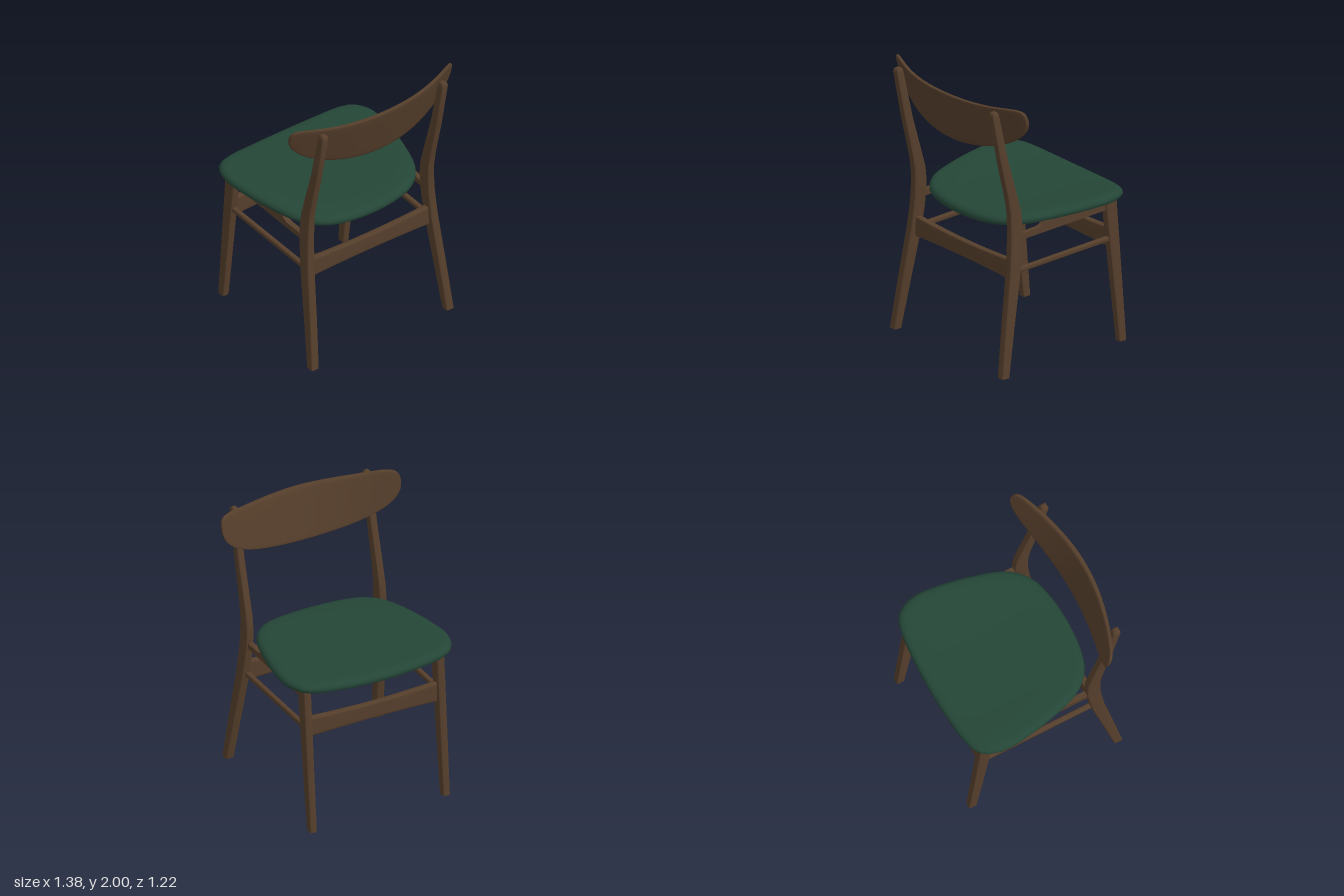
import * as THREE from 'three';
import { toCreasedNormals } from 'three/addons/utils/BufferGeometryUtils.js';

// Skin over equal-length rings (counter-clockwise about the loft direction), capped at both ends
function loft(rings, crease = 0.6) {
  const n = rings[0].length, pos = [], idx = [];
  rings.forEach(r => r.forEach(p => pos.push(...p)));
  for (let i = 0; i < rings.length - 1; i++) {
    for (let j = 0; j < n; j++) {
      const a = i * n + j, b = i * n + (j + 1) % n;
      idx.push(a, b, b + n, a, b + n, a + n);
    }
  }
  [0, rings.length - 1].forEach((i, end) => {
    const c = pos.length / 3;
    for (let k = 0; k < 3; k++) pos.push(rings[i].reduce((s, p) => s + p[k], 0) / n);
    for (let j = 0; j < n; j++) {
      const a = i * n + j, b = i * n + (j + 1) % n;
      idx.push(...(end ? [c, a, b] : [c, b, a]));
    }
  });
  const g = new THREE.BufferGeometry();
  g.setAttribute('position', new THREE.Float32BufferAttribute(pos, 3));
  g.setIndex(idx);
  return toCreasedNormals(g, crease);
}

// Unit rounded square as [cos, sin]-like pairs
function rounded(e = 0.3, n = 24) {
  const f = v => Math.sign(v) * Math.pow(Math.abs(v), e);
  return Array.from({ length: n }, (_, i) => {
    const t = (i + 0.5) / n * Math.PI * 2;
    return [f(Math.cos(t)), f(Math.sin(t))];
  });
}

// Upright leg from rows of [y, x centre, x width, z centre, z depth]
const leg = (rows, side) => loft(rows.map(([y, x, w, z, d]) =>
  rounded().map(([c, s]) => [side * x + s * w / 2, y, z + c * d / 2])));

// Curved crosswise rail, taller at its ends
function crossRail(y, z) {
  const rings = [];
  for (let i = 0; i <= 12; i++) {
    const u = i / 6 - 1, h = 0.058 + 0.015 * u * u;
    rings.push(rounded(0.2).map(([c, s]) => [u * 0.505, y + 0.004 * u * u + c * h, z + s * 0.024]));
  }
  return loft(rings);
}

// Bowed, leaning backrest with a half-moon outline
function backrestGeometry() {
  const rings = [], steps = 40;
  for (let i = 0; i <= steps; i++) {
    const u = Math.sin((i / steps - 0.5) * Math.PI * 0.985), k = 1 - u * u;
    const top = 1.92 + Math.pow(k, 0.25) * (0.06 + 0.095 * u ** 4);
    const bottom = 1.92 - 0.31 * Math.sqrt(k);
    const half = 0.012 + 0.007 * Math.sqrt(k);
    rings.push(rounded(0.28).map(([c, s]) => {
      const y = (top + bottom) / 2 + c * (top - bottom) / 2;
      return [u * 0.69, y, 0.547 - 0.175 * u * u + 0.26 * (y - 1.8) + s * half];
    }));
  }
  return loft(rings);
}

// Upholstered pad: rounded plan, saddle curve, rounded upper edge
function seatGeometry() {
  const half = [[0.2, 0.44], [0.36, 0.395], [0.46, 0.315], [0.52, 0.22], [0.575, 0.05], [0.62, -0.16],
    [0.64, -0.36], [0.62, -0.46], [0.57, -0.54], [0.48, -0.58], [0.28, -0.605]];
  const plan = [[0, 0.455], ...half, [0, -0.615], ...half.map(([x, z]) => [-x, z]).reverse()];
  const curve = new THREE.CatmullRomCurve3(plan.map(([x, z]) => new THREE.Vector3(x, 0, z)), true);
  const outline = curve.getSpacedPoints(80).slice(0, 80);
  const profile = [[0.02, 0], [0.35, 0], [0.7, 0], [0.985, 0], [1, 0.015], [1, 0.028], [0.99, 0.042],
    [0.97, 0.053], [0.94, 0.06], [0.88, 0.064], [0.65, 0.064], [0.35, 0.064], [0.02, 0.064]];
  return loft(profile.map(([s, h]) => outline.map(p => {
    const x = p.x * s, z = -0.08 + (p.z + 0.08) * s;
    return [x, 1.05 - 0.025 * z + 0.09 * x * x + h, z];
  })));
}

// Upper side rail: slim at the back, stepping up to carry the seat
function seatRailGeometry() {
  const s = new THREE.Shape();
  s.moveTo(-0.37, 0.978);
  s.lineTo(0.45, 1.002);
  s.lineTo(0.45, 1.075);
  s.lineTo(-0.12, 1.06);
  s.quadraticCurveTo(-0.14, 1.03, -0.18, 1.027);
  s.lineTo(-0.37, 1.02);
  s.closePath();
  const g = new THREE.ExtrudeGeometry(s, { depth: 0.04, bevelEnabled: false, curveSegments: 6 });
  g.translate(0, 0, -0.02);
  g.rotateY(Math.PI / 2);
  return g;
}

export function createModel() {
  const model = new THREE.Group();
  model.name = 'chair';
  const wood = new THREE.MeshStandardMaterial({ color: 0x553e2b });
  wood.name = 'walnut wood';
  const fabric = new THREE.MeshStandardMaterial({ color: 0x244637 });
  fabric.name = 'green upholstery';
  const add = (name, geometry, material = wood) => {
    const m = new THREE.Mesh(geometry, material);
    m.name = name;
    model.add(m);
    return m;
  };

  add('seat', seatGeometry(), fabric);
  add('backrest', backrestGeometry());
  add('backRail', crossRail(0.768, 0.388));
  add('frontRail', crossRail(0.778, -0.485));

  const backRows = [
    [0.03, 0.578, 0.062, 0.522, 0.062], [0.4, 0.553, 0.064, 0.46, 0.08], [0.75, 0.53, 0.064, 0.398, 0.095],
    [0.9, 0.521, 0.062, 0.38, 0.1], [1.0, 0.516, 0.06, 0.372, 0.102], [1.1, 0.513, 0.058, 0.37, 0.104],
    [1.2, 0.512, 0.056, 0.378, 0.096], [1.3, 0.512, 0.054, 0.4, 0.086], [1.6, 0.512, 0.052, 0.478, 0.07],
    [1.95, 0.512, 0.052, 0.552, 0.058], [1.968, 0.512, 0.046, 0.554, 0.048], [1.978, 0.512, 0.03, 0.554, 0.03]];
  const frontRows = [[0, 0.514, 0.052, -0.568, 0.06], [0.5, 0.515, 0.056, -0.517, 0.08],
    [1.082, 0.515, 0.06, -0.459, 0.1]];

  // Paired parts: left is +x, right is -x
  for (const [label, side] of [['left', 1], ['right', -1]]) {
    add(label + 'BackLeg', leg(backRows, side));
    add(label + 'FrontLeg', leg(frontRows, side));
    add(label + 'SeatRail', seatRailGeometry()).position.x = side * 0.512;
    add(label + 'Stretcher', loft([[-0.48, 0.782], [0.39, 0.757]].map(([z, y]) =>
      rounded(0.5).map(([c, s]) => [side * 0.518 + c * 0.018, y + s * 0.018, z]))));
  }
  return model;
}
